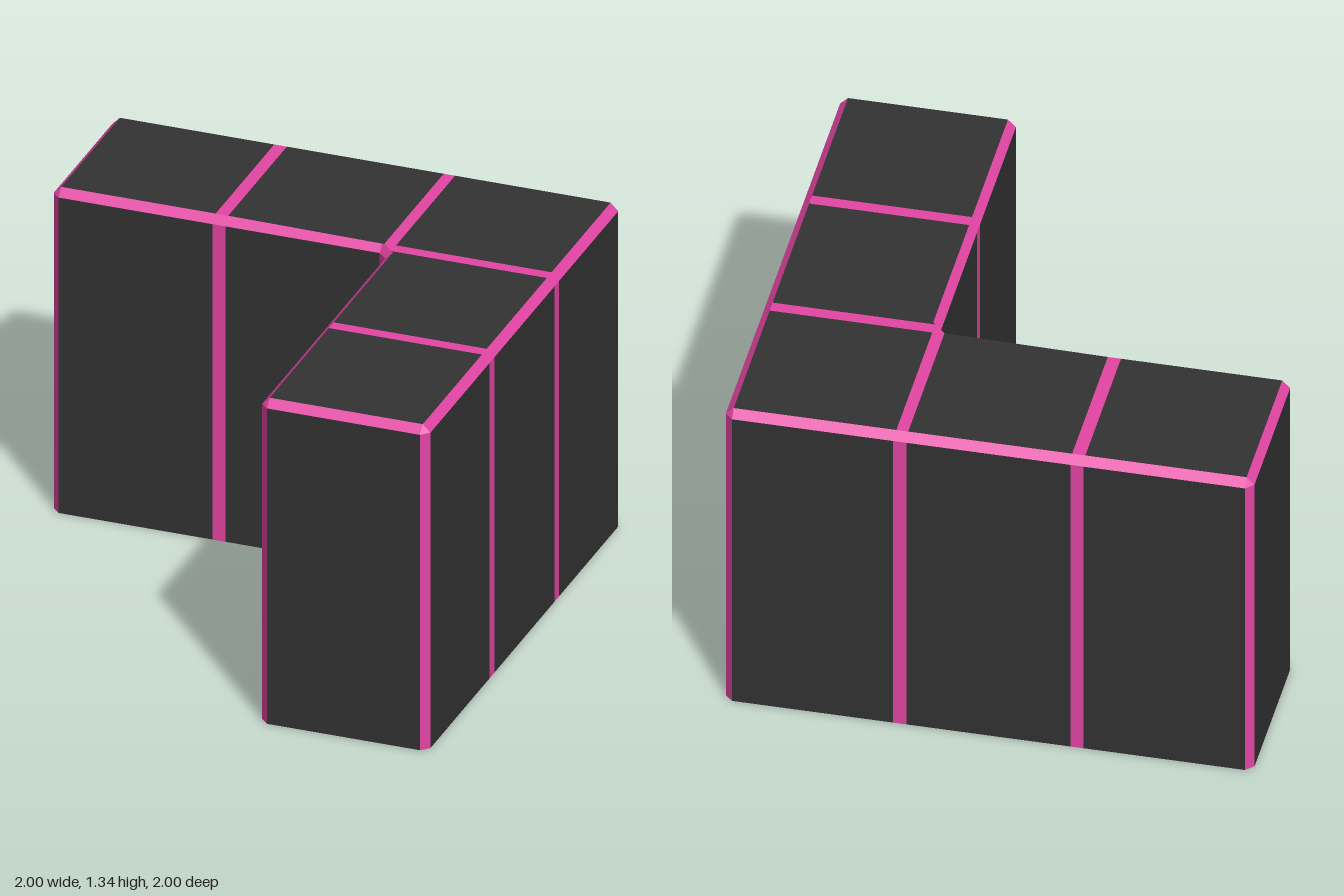
import * as THREE from 'three';

const HEIGHT = 1.335;
const BEVEL = 0.03;
const SHOULDER = HEIGHT - BEVEL;

// Flat-shaded mesh from convex polygons, each a loop of [x, y, z] corners
function polyMesh(name, material, polygons) {
  const positions = [];
  for (const p of polygons) {
    for (let i = 1; i < p.length - 1; i++) positions.push(...p[0], ...p[i], ...p[i + 1]);
  }
  const geometry = new THREE.BufferGeometry();
  geometry.setAttribute('position', new THREE.Float32BufferAttribute(positions, 3));
  geometry.computeVertexNormals();
  const mesh = new THREE.Mesh(geometry, material);
  mesh.name = name;
  return mesh;
}

const at = ([x, z], y) => [x, y, z];
const upright = (a, b) => [at(a, 0), at(b, 0), at(b, SHOULDER), at(a, SHOULDER)];

export function createModel() {
  const panel = new THREE.MeshStandardMaterial({ color: 0x333333, side: THREE.DoubleSide });
  panel.name = 'charcoal panel';
  const trim = new THREE.MeshStandardMaterial({ color: 0xe345a4, side: THREE.DoubleSide });
  trim.name = 'pink trim';

  const group = new THREE.Group();
  group.name = 'cornerBlock';

  // Walls in plan, [x, z], running round the L; strips are centred at the given fractions
  const lower = -0.335, upper = 0.335;
  const walls = [
    { name: 'frontEnd', a: [0.365, 1], b: [0.97, 1], strips: [] },
    { name: 'rightWall', a: [1, 0.97], b: [1, -0.97], strips: [upper, lower] },
    { name: 'backWall', a: [0.97, -1], b: [-0.97, -1], strips: [upper, lower] },
    { name: 'leftEnd', a: [-1, -0.97], b: [-1, -0.365], strips: [] },
    { name: 'innerBackWall', a: [-0.97, -0.335], b: [0.3, -0.335], strips: [lower] },
    { name: 'innerSideWall', a: [0.335, -0.3], b: [0.335, 0.97], strips: [upper] },
  ];

  // Top edge of a wall: its ends moved inward by the bevel
  function topEdge({ a, b }) {
    const dx = b[0] - a[0], dz = b[1] - a[1], length = Math.hypot(dx, dz);
    const inward = [dz / length * BEVEL, -dx / length * BEVEL];
    return [a, b].map(p => [p[0] + inward[0], p[1] + inward[1]]);
  }

  const edges = [];
  walls.forEach((wall, i) => {
    const { a, b, name } = wall;
    const axis = a[1] === b[1] ? 0 : 1;
    const direction = Math.sign(b[axis] - a[axis]);
    const pointAt = v => (axis === 0 ? [v, a[1]] : [a[0], v]);

    // Panels divided by flush upright strips
    const panels = [], strips = [];
    let start = a;
    for (const centre of wall.strips) {
      const s0 = pointAt(centre - direction * 0.025);
      const s1 = pointAt(centre + direction * 0.025);
      panels.push(upright(start, s0));
      strips.push(upright(s0, s1));
      start = s1;
    }
    panels.push(upright(start, b));
    group.add(polyMesh(name + 'Panels', panel, panels));
    if (strips.length) group.add(polyMesh(name + 'Strips', trim, strips));

    // Bevelled top edge, chamfered upright corner and corner cap
    const next = walls[(i + 1) % walls.length];
    const [topA, topB] = topEdge(wall);
    const [nextTop] = topEdge(next);
    edges.push([at(a, SHOULDER), at(b, SHOULDER), at(topB, HEIGHT), at(topA, HEIGHT)]);
    edges.push(upright(b, next.a));
    edges.push([at(b, SHOULDER), at(next.a, SHOULDER), at(nextTop, HEIGHT), at(topB, HEIGHT)]);
  });
  group.add(polyMesh('edgeTrim', trim, edges));

  // Roof: five panels and the strips between them
  const top = points => points.map(p => at(p, HEIGHT));
  const rect = (x0, x1, z0, z1) => top([[x0, z1], [x1, z1], [x1, z0], [x0, z0]]);
  group.add(polyMesh('roofPanels', panel, [
    rect(-0.97, -0.36, -0.97, -0.365),
    top([[-0.31, -0.365], [0.3, -0.365], [0.31, -0.355], [0.31, -0.97], [-0.31, -0.97]]),
    rect(0.355, 0.97, -0.97, -0.36),
    top([[0.365, -0.3], [0.365, 0.31], [0.97, 0.31], [0.97, -0.31], [0.355, -0.31]]),
    rect(0.365, 0.97, 0.36, 0.97),
  ]));
  group.add(polyMesh('roofStrips', trim, [
    rect(-0.36, -0.31, -0.97, -0.365),
    top([[0.31, -0.355], [0.355, -0.31], [0.355, -0.97], [0.31, -0.97]]),
    rect(0.355, 0.97, -0.36, -0.31),
    rect(0.365, 0.97, 0.31, 0.36),
  ]));

  return group;
}
